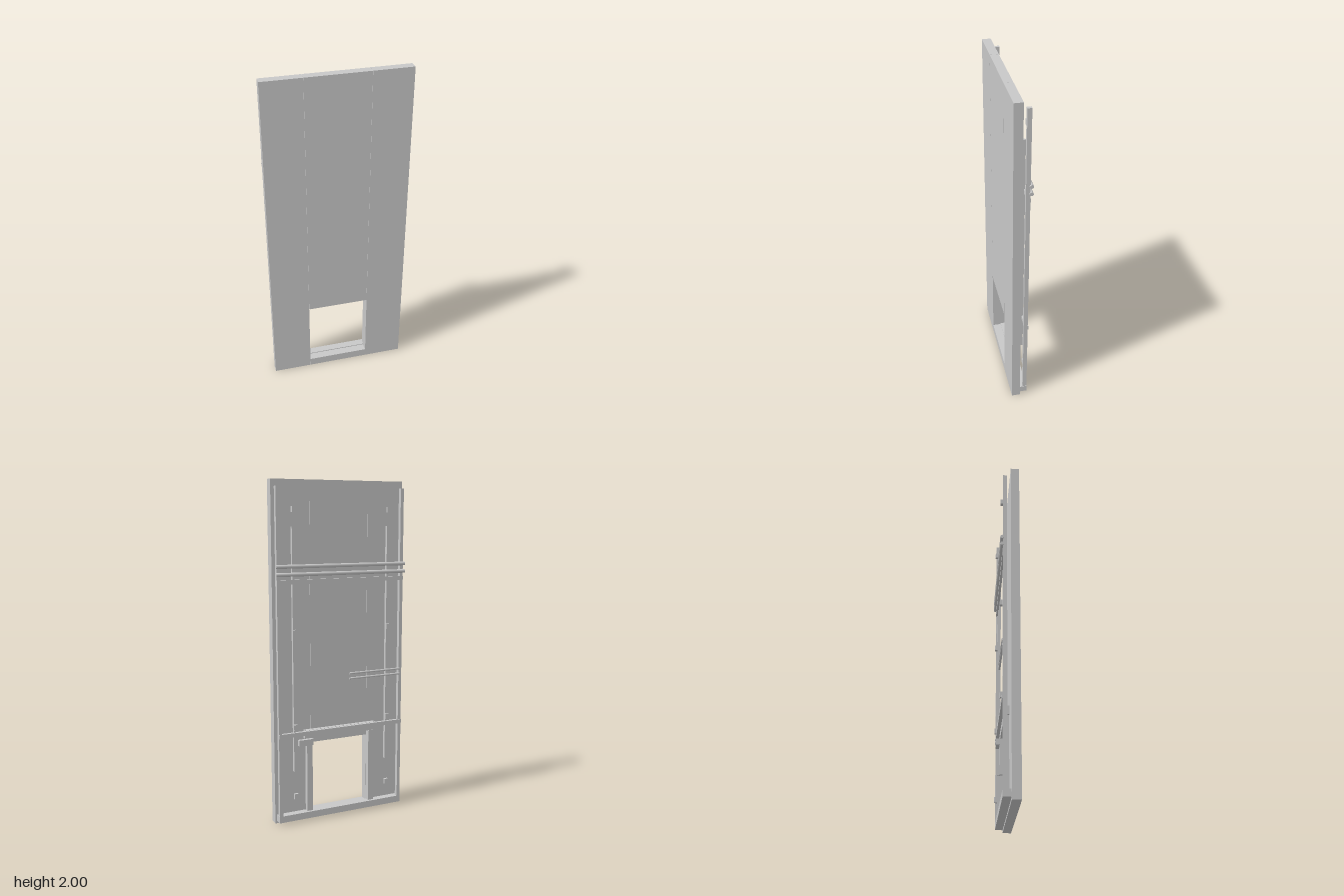
import * as THREE from 'three';

export function createModel() {
  const model = new THREE.Group();
  const gray = new THREE.MeshStandardMaterial({ color: 0xc8c8c8 });
  gray.name = 'light gray';

  // Box given by its low and high limits on each axis
  function box(name, x0, x1, y0, y1, z0, z1) {
    const mesh = new THREE.Mesh(new THREE.BoxGeometry(x1 - x0, y1 - y0, z1 - z0), gray);
    mesh.name = name;
    mesh.position.set((x0 + x1) / 2, (y0 + y1) / 2, (z0 + z1) / 2);
    model.add(mesh);
  }

  // Round bar lying along x
  function bar(name, x0, x1, y, z, radius) {
    const geometry = new THREE.CylinderGeometry(radius, radius, x1 - x0, 16).rotateZ(Math.PI / 2);
    const mesh = new THREE.Mesh(geometry, gray);
    mesh.name = name;
    mesh.position.set((x0 + x1) / 2, y, z);
    model.add(mesh);
  }

  // The same box on both sides
  function pair(name, x0, x1, y0, y1, z0, z1) {
    box(name + 'Left', x0, x1, y0, y1, z0, z1);
    box(name + 'Right', -x1, -x0, y0, y1, z0, z1);
  }

  // Front panels with the opening below the middle one
  pair('sidePanel', 0.186, 0.418, 0, 2, 0.005, 0.055);
  box('middlePanel', -0.185, 0.185, 0.472, 2, 0.005, 0.055);
  box('sill', -0.185, 0.185, 0, 0.05, 0.005, 0.055);

  // Frame around the opening
  pair('doorPost', 0.187, 0.222, 0.055, 0.505, -0.024, 0.005);
  box('lintel', -0.234, 0.234, 0.505, 0.555, -0.022, 0.005);
  box('bottomRail', -0.408, 0.408, 0.015, 0.055, -0.04, 0.005);
  box('latchBox', 0.19, 0.28, 0.47, 0.506, -0.046, -0.024);

  // Upright rails, strips and clips behind the side panels
  pair('edgeRail', 0.385, 0.405, 0.02, 1.96, -0.04, -0.016);
  pair('uprightStrip', 0.297, 0.309, 0.315, 1.74, -0.034, -0.015);
  for (const y of [0.168, 0.588, 1.145, 1.835]) {
    pair('clip', 0.291, 0.314, y - 0.016, y + 0.016, -0.05, -0.034);
  }

  // Cross rails and round bars
  box('lowerCrossRail', -0.405, 0.405, 0.53, 0.555, -0.044, -0.025);
  box('upperCrossRail', -0.405, 0.405, 1.42, 1.445, -0.042, -0.028);
  for (const y of [1.475, 1.52]) bar('crossBar', -0.412, 0.412, y, -0.045, 0.011);
  for (const y of [0.847, 0.878]) bar('shortBar', -0.39, -0.05, y, -0.04, 0.006);

  return model;
}
